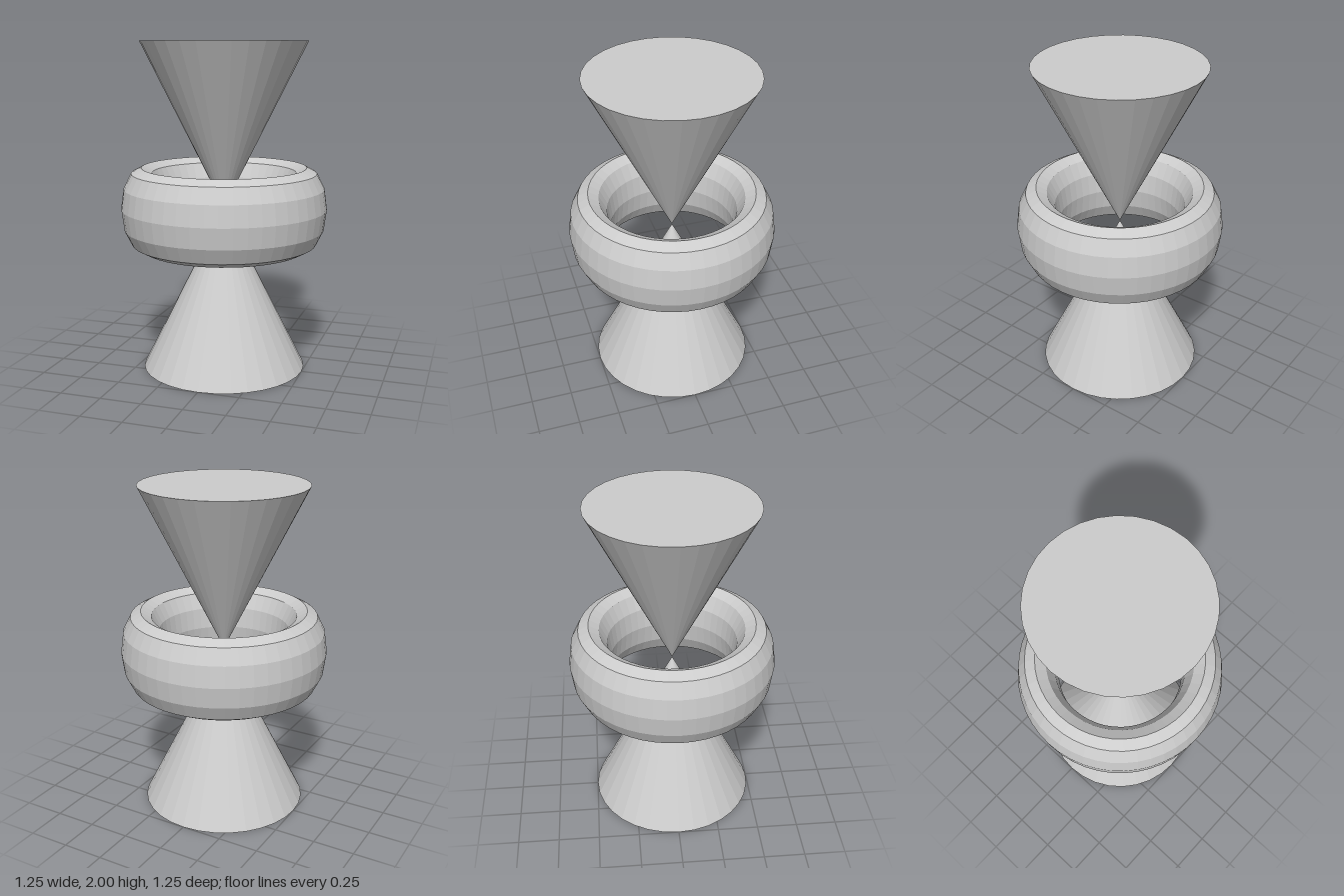
import * as THREE from 'three';

export function createModel() {
  const model = new THREE.Group();
  const material = new THREE.MeshStandardMaterial({ color: 0xcccccc, flatShading: true });

  function add(name, geometry, y) {
    const mesh = new THREE.Mesh(geometry, material);
    mesh.name = name;
    mesh.position.y = y;
    model.add(mesh);
  }

  // Two closed cones meeting tip to tip at mid height
  add('lowerCone', new THREE.ConeGeometry(0.5, 1, 32), 0.5);
  add('upperCone', new THREE.ConeGeometry(0.5, 1, 32).rotateX(Math.PI), 1.5);

  // Ring around the tips, its tube stretched to twice its height
  const ring = new THREE.TorusGeometry(0.5, 0.125, 12, 48);
  ring.rotateX(Math.PI / 2).scale(1, 2, 1);
  add('ring', ring, 1);

  return model;
}
